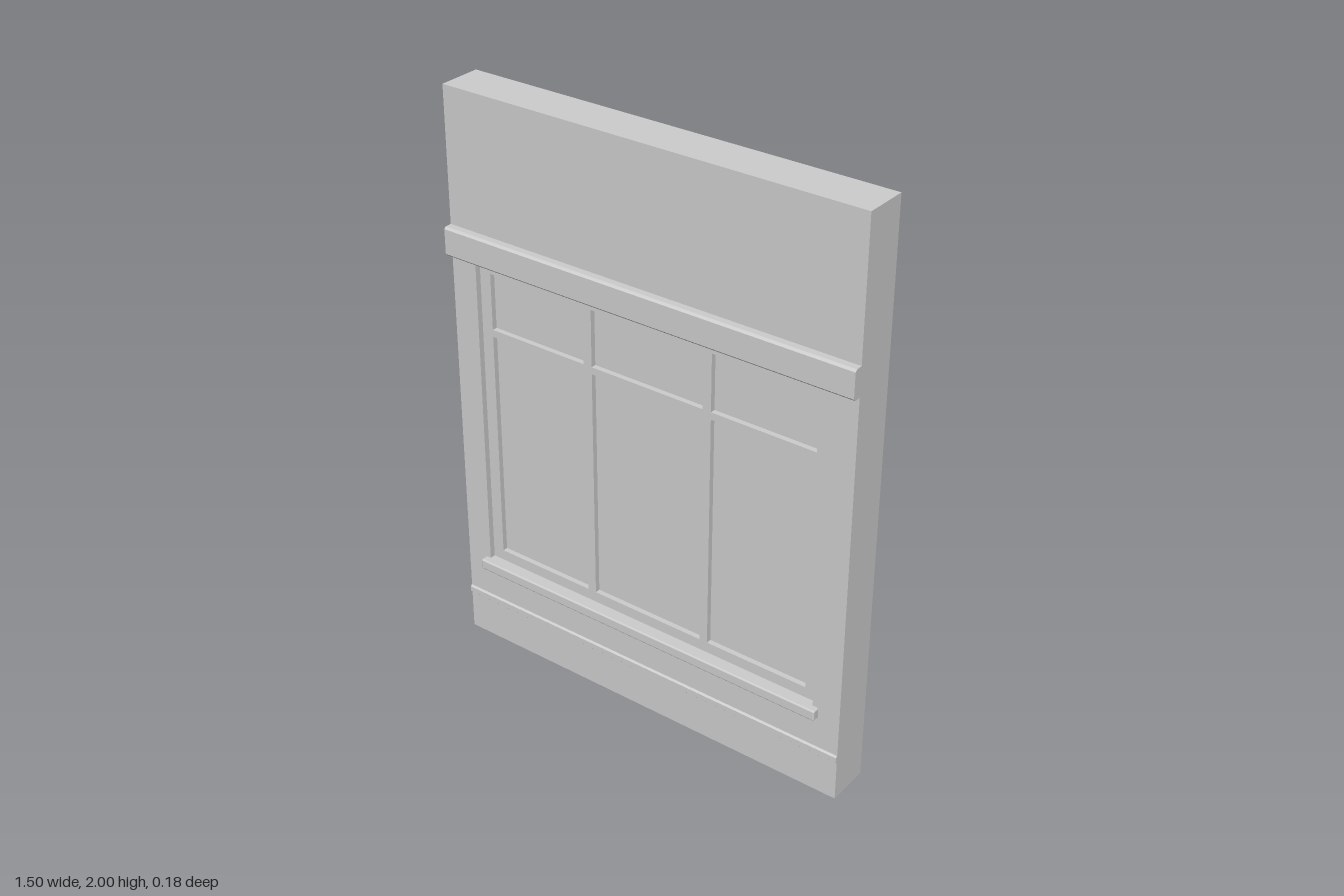
import * as THREE from 'three';
import { RoundedBoxGeometry } from 'three/addons/geometries/RoundedBoxGeometry.js';

const W = 1.5, H = 2, BACK = -0.09, FRONT = 0.06;
const PANE_Z = 0.02, FRAME_Z = 0.04;

// Closed rectangle path from corner coordinates
function rect(PathType, x0, y0, x1, y1) {
  return new PathType([[x0, y0], [x1, y0], [x1, y1], [x0, y1]].map(([x, y]) => new THREE.Vector2(x, y)));
}

// Flat panel with rectangular holes, extruded from z0 to z1
function panel(outer, holes, z0, z1) {
  const shape = rect(THREE.Shape, ...outer);
  shape.holes = holes.map((h) => rect(THREE.Path, ...h));
  return new THREE.ExtrudeGeometry(shape, { depth: z1 - z0, bevelEnabled: false }).translate(0, 0, z0);
}

// Full-width moulding with chamfered front edges
function moulding(y0, y1, z1, c) {
  const z0 = FRONT - 0.01;
  const s = new THREE.Shape([[z0, y0], [z1 - c, y0], [z1, y0 + c], [z1, y1 - c], [z1 - c, y1], [z0, y1]]
    .map(([z, y]) => new THREE.Vector2(-z, y)));
  // the profile's first axis becomes -z, its extrusion runs along x
  return new THREE.ExtrudeGeometry(s, { depth: W, bevelEnabled: false })
    .rotateY(Math.PI / 2).translate(-W / 2, 0, 0);
}

export function createModel() {
  const group = new THREE.Group();
  group.name = 'windowWallPanel';
  const plaster = new THREE.MeshStandardMaterial({ color: 0xcccccc });
  plaster.name = 'light grey';

  const add = (name, geometry) => {
    const mesh = new THREE.Mesh(geometry, plaster);
    mesh.name = name;
    group.add(mesh);
    return mesh;
  };

  // Solid back of the wall and the front layer with its window opening
  const opening = [-0.655, 0.315, 0.652, 1.445];
  add('wallBack', new THREE.BoxGeometry(W, H, PANE_Z - BACK).translate(0, H / 2, (PANE_Z + BACK) / 2));
  add('wallFront', panel([-W / 2, 0, W / 2, H], [opening], PANE_Z, FRONT));

  // Window frame: three columns, tall panes below and short ones above
  const columns = [[-0.613, -0.243], [-0.212, 0.208], [0.238, 0.61]];
  const rows = [[0.36, 1.18], [1.205, 1.402]];
  const lights = rows.flatMap(([y0, y1]) => columns.map(([x0, x1]) => [x0, y0, x1, y1]));
  add('windowFrame', panel(opening, lights, PANE_Z, FRAME_Z));
  for (const light of lights) add('windowPane', panel(light, [], PANE_Z, PANE_Z + 0.002));

  // Lintel band above and thin string course below the window
  add('lintelBand', moulding(1.443, 1.542, 0.09, 0.007));
  add('stringCourse', moulding(0.143, 0.172, 0.067, 0.005));

  // Projecting sill with softened edges
  const sillBack = 0.03, sillFront = 0.085;
  add('windowSill', new RoundedBoxGeometry(1.35, 0.038, sillFront - sillBack, 2, 0.006)
    .translate(-0.002, 0.303, (sillBack + sillFront) / 2));

  return group;
}
